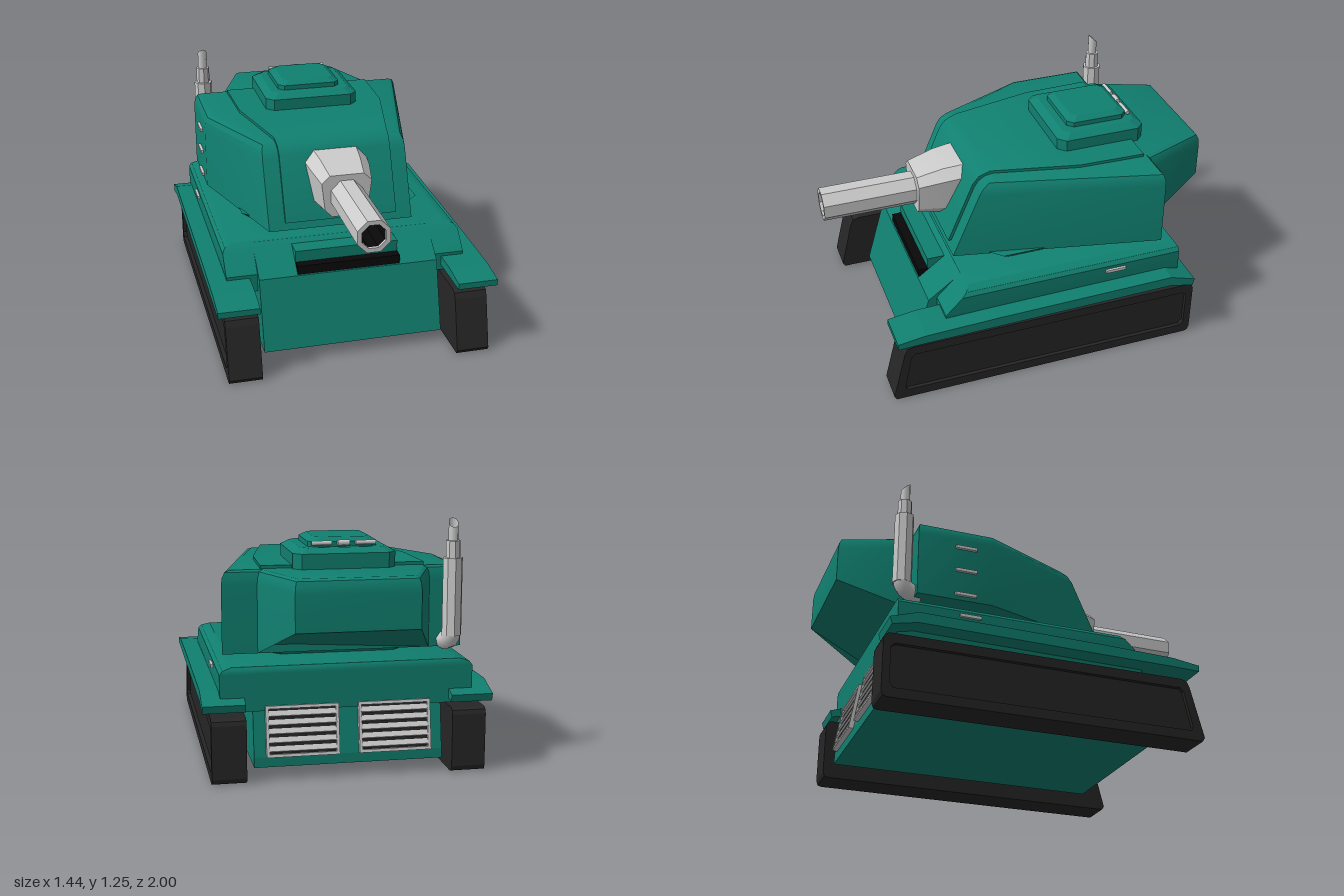
import * as THREE from 'three';
import { toCreasedNormals } from 'three/addons/utils/BufferGeometryUtils.js';

const mat = (color, side = THREE.FrontSide) => new THREE.MeshStandardMaterial({ color, side });
const green = mat(0x108070), grey = mat(0xcccccc), rubber = mat(0x262626), black = mat(0x080808, THREE.DoubleSide);

// Skin a list of equal-length rings [x,y,z] and cap both ends
function loft(rings, crease = 0.6) {
  const n = rings[0].length, pos = rings.flat(2), idx = [];
  for (let r = 0; r < rings.length - 1; r++)
    for (let i = 0; i < n; i++) {
      const a = r * n + i, b = r * n + (i + 1) % n;
      idx.push(a, b, b + n, a, b + n, a + n);
    }
  const last = (rings.length - 1) * n;
  for (let i = 1; i < n - 1; i++) idx.push(0, i + 1, i, last, last + i, last + i + 1);
  const g = new THREE.BufferGeometry();
  g.setAttribute('position', new THREE.Float32BufferAttribute(pos, 3));
  g.setIndex(idx);
  return toCreasedNormals(g, crease);
}

// Extrude a [z, y] outline from x0 to x1, with an optional hole
function extrudeX(pts, x0, x1, hole) {
  const v = (list) => list.map(([z, y]) => new THREE.Vector2(z, y));
  const shape = new THREE.Shape(v(pts));
  if (hole) shape.holes.push(new THREE.Path(v(hole)));
  const g = new THREE.ExtrudeGeometry(shape, { depth: x1 - x0, bevelEnabled: false });
  return g.rotateY(-Math.PI / 2).translate(x1, 0, 0);
}

// Rectangle with cut corners, as [u, v] counter-clockwise
const octagon = (hu, hv, c) => [[hu, -hv + c], [hu, hv - c], [hu - c, hv], [-hu + c, hv],
  [-hu, hv - c], [-hu, -hv + c], [-hu + c, -hv], [hu - c, -hv]];

export function createModel() {
  const model = new THREE.Group();
  const add = (name, geo, material, parent = model) => {
    const m = new THREE.Mesh(geo, material);
    m.name = name;
    parent.add(m);
    return m;
  };
  const box = (name, w, h, d, x, y, z, material, parent) => {
    const m = add(name, new THREE.BoxGeometry(w, h, d), material, parent);
    m.position.set(x, y, z);
    return m;
  };

  // Lower hull and wider upper hull
  add('lowerHull', extrudeX([[0.68, 0.07], [0.575, 0.43], [0.4, 0.56], [-0.74, 0.56],
    [-0.74, 0.42], [-0.79, 0.12], [-0.79, 0.07]], -0.47, 0.47), green);
  const hullRing = (y, hx, zf, zr) => [[-hx, y, zf], [hx, y, zf], [hx, y, zr], [-hx, y, zr]];
  add('upperHull', loft([hullRing(0.345, 0.62, 0.53, -0.76), hullRing(0.44, 0.63, 0.53, -0.76),
    hullRing(0.53, 0.63, 0.44, -0.76), hullRing(0.55, 0.615, 0.415, -0.76),
    hullRing(0.565, 0.57, 0.39, -0.75)]), green);

  // Driver's slit under a brow
  box('slitBrow', 0.54, 0.06, 0.14, 0, 0.51, 0.45, green);
  box('slit', 0.54, 0.05, 0.12, 0, 0.455, 0.51, black);

  // Turret ring, flaring upward
  const neck = add('turretRing', loft([[0.565, 0.42, 0.38], [0.62, 0.48, 0.42]].map(([y, hx, hz]) =>
    octagon(hz, hx, 0.13).map(([u, v]) => [v, y, u - 0.12])), 0.1), green);
  neck.name = 'turretRing';

  // Turret body: raked front, rounded upper edge, flat panel on one flank
  const rake = (y) => 0.41 - 0.43 * (y - 0.61);
  const edge = [[0.61, 0], [0.95, 0], [0.985, 0.008], [1.01, 0.03], [1.02, 0.07]];
  add('turretBody', loft(edge.map(([y, k]) =>
    [[-0.38, rake(y)], [0.38, rake(y)], [0.605, -0.66], [-0.595, -0.66], [-0.595, -0.27]]
      .map(([x, z]) => [x * (1 - k), y, z > 0 ? z - k : z + k * 0.3])), 0.5), green);

  // Rear bustle with rising floor
  add('turretBustle', loft(edge.map(([y, k], i) =>
    [[0.43, -0.55], [0.43, -0.66], [0.3, -1], [-0.3, -1], [-0.43, -0.66], [-0.43, -0.55]]
      .map(([x, z]) => [x * (1 - k), i === 0 && z === -1 ? 0.77 : y, z === -1 ? z + k * 0.5 : z])), 0.5), green);

  // Raised plate over the turret front and roof: [z, y, half width, inward z, inward y]
  add('turretPlate', loft([[0.41, 0.65, 0.295, -0.06, 0], [0.272, 0.97, 0.295, -0.06, -0.02],
    [0.24, 1.01, 0.297, -0.05, -0.04], [0.18, 1.035, 0.302, -0.01, -0.05],
    [-0.27, 1.035, 0.4, 0, -0.05], [-0.62, 1.035, 0.41, 0, -0.05]].map(([z, y, h, dz, dy]) =>
    [[-h, y, z], [h, y, z], [h, y + dy, z + dz], [-h, y + dy, z + dz]])), green);

  // Cupola and its hatch
  const slab = (name, cz, layers) => add(name, loft(layers.map(([y, hx, hz, c]) =>
    octagon(hz, hx, c).map(([u, v]) => [v, y, u + cz])), 0.2), green);
  slab('cupola', -0.455, [[1.0, 0.255, 0.24, 0.04], [1.095, 0.255, 0.24, 0.04], [1.12, 0.215, 0.2, 0.035]]);
  slab('hatch', -0.46, [[1.11, 0.172, 0.165, 0.03], [1.145, 0.172, 0.165, 0.03], [1.165, 0.14, 0.135, 0.03]]);
  [[0, 0.06, 0.014], [-0.11, 0.1, 0.011], [0.11, 0.1, 0.011]].forEach(([x, len, r]) => {
    const pin = add('hatchHinge', new THREE.CylinderGeometry(r, r, len, 8), grey);
    pin.rotation.z = Math.PI / 2;
    pin.position.set(x, 1.14, -0.635);
  });

  // Gun mantlet: [z, centre y, half width, half height, corner cut]
  add('mantlet', loft([[0.2, 0.835, 0.165, 0.15, 0.05], [0.37, 0.83, 0.15, 0.138, 0.05], [0.51, 0.82, 0.125, 0.112, 0.04]]
    .map(([z, cy, hx, hy, c]) => octagon(hx, hy, c).map(([u, v]) => [u * (1 + (v > 0 ? 0.04 : -0.1)), v + cy, z])), 0.2), grey);

  // Eight-sided barrel with a bore
  const lathe = (pts) => toCreasedNormals(new THREE.LatheGeometry(pts.map(([r, z]) => new THREE.Vector2(r, z)),
    8, Math.PI / 8).rotateX(Math.PI / 2).translate(0, 0.82, 0), 0.2);
  add('barrel', lathe([[0.088, 0.45], [0.088, 1], [0.064, 1], [0.064, 0.97]]), grey);
  add('bore', lathe([[0.064, 0.985], [0.06, 0.8], [0, 0.8]]), black);

  // Stepped exhaust stack with an elbow and a slanted open tip
  const stack = new THREE.Group();
  stack.name = 'exhaust';
  stack.position.set(-0.53, 0, -0.72);
  model.add(stack);
  [[0.05, 0.68, 1.065], [0.037, 1.06, 1.15]].forEach(([r, y0, y1]) =>
    add('exhaustPipe', toCreasedNormals(new THREE.CylinderGeometry(r, r, y1 - y0, 8), 0.6)
      .translate(0, (y0 + y1) / 2, 0), grey, stack));
  const tip = new THREE.CylinderGeometry(0.025, 0.025, 0.11, 8, 1, true).translate(0, 1.205, 0);
  const p = tip.attributes.position;
  for (let i = 0; i < p.count; i++)
    if (p.getY(i) > 1.2) p.setY(i, 1.237 + p.getZ(i) * 0.9);
  add('exhaustTip', tip, mat(0xcccccc, THREE.DoubleSide), stack);
  add('exhaustInside', new THREE.CircleGeometry(0.024, 8).rotateX(-Math.PI / 2).translate(0, 1.19, 0), black, stack);
  add('exhaustElbow', new THREE.TubeGeometry(new THREE.QuadraticBezierCurve3(new THREE.Vector3(0, 0.7, 0),
    new THREE.Vector3(0, 0.64, 0), new THREE.Vector3(0.02, 0.64, 0.09)), 5, 0.048, 8), grey, stack);

  // Climbing rungs on the flat flank
  for (const y of [0.64, 0.775, 0.905]) box('rung', 0.025, 0.016, 0.11, -0.597, y, -0.41, grey);

  // Paired parts
  const track = [[0.82, 0.005], [0.832, 0.025], [0.765, 0.29], [0.75, 0.32], [0.72, 0.33], [-0.81, 0.33],
    [-0.83, 0.32], [-0.838, 0.3], [-0.838, 0.035], [-0.83, 0.012], [-0.81, 0.005]];
  const recess = [[0.76, 0.055], [0.77, 0.075], [0.73, 0.26], [0.71, 0.28], [-0.78, 0.28],
    [-0.8, 0.26], [-0.8, 0.08], [-0.78, 0.055]];
  const fender = [[0.805, 0.368], [0.66, 0.372], [0.28, 0.375], [-0.68, 0.385], [-0.81, 0.357], [-0.82, 0.395],
    [-0.68, 0.44], [0.28, 0.43], [0.66, 0.42], [0.805, 0.4]];
  for (const s of [1, -1]) {
    const span = (pts, a, b, hole) => extrudeX(pts, Math.min(s * a, s * b), Math.max(s * a, s * b), hole);
    add('track', span(track, 0.51, 0.66), rubber);
    add('trackRim', span(track, 0.66, 0.68, recess), rubber);
    add('fender', span(fender, 0.51, 0.72), green);
    box('hullHandle', 0.022, 0.016, 0.11, s * 0.632, 0.505, -0.395, grey);

    // Rear engine grille, tilted with the plate
    const grille = new THREE.Group();
    grille.name = 'grille';
    grille.position.set(s * 0.23, 0.245, -0.775);
    grille.rotation.x = 0.165;
    model.add(grille);
    box('grilleBack', 0.34, 0.23, 0.01, 0, 0, 0, rubber, grille);
    for (const e of [-1, 1]) {
      box('grilleFrame', 0.36, 0.015, 0.03, 0, e * 0.118, -0.005, grey, grille);
      box('grilleFrame', 0.015, 0.25, 0.03, e * 0.173, 0, -0.005, grey, grille);
    }
    for (let i = -2; i <= 2; i++) {
      const slat = box('grilleSlat', 0.34, 0.026, 0.012, 0, i * 0.043, -0.01, grey, grille);
      slat.rotation.x = 0.4;
    }
  }
  return model;
}
